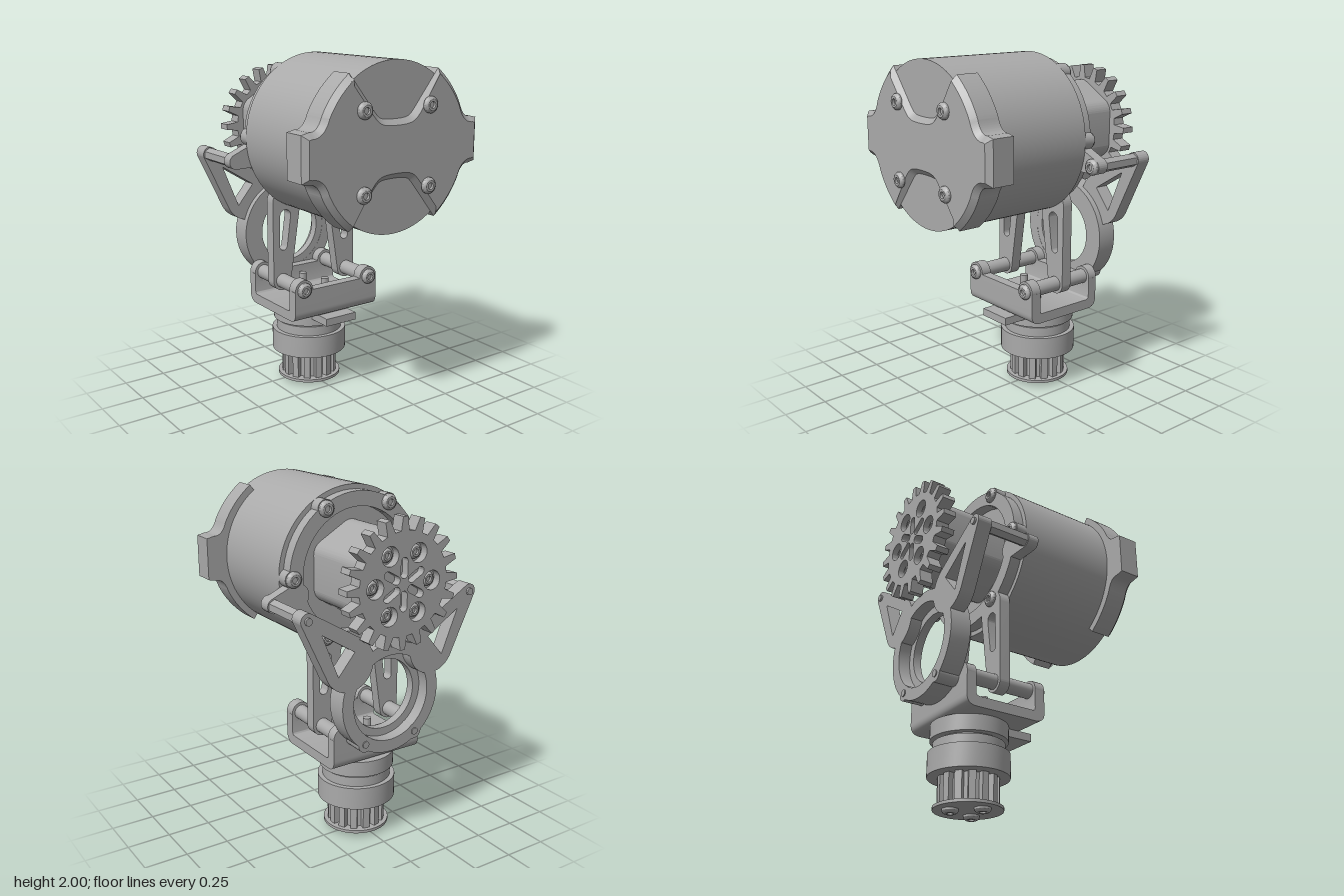
import * as THREE from 'three';
import { toCreasedNormals } from 'three/addons/utils/BufferGeometryUtils.js';

const AXIS_Y = 1.545;   // motor axis height
const STACK_Z = -0.215; // vertical pulley axis
const RING_Y = 0.905;   // rear ring centre

export function createModel() {
  const model = new THREE.Group();
  model.name = 'motorDriveUnit';
  const grey = new THREE.MeshStandardMaterial({ color: 0xaaaaaa });
  grey.name = 'grey metal';

  function add(name, geo, x = 0, y = 0, z = 0) {
    const mesh = new THREE.Mesh(toCreasedNormals(geo, 0.55), grey);
    mesh.name = name;
    mesh.position.set(x, y, z);
    model.add(mesh);
    return mesh;
  }
  // Plate between two z values
  function plate(name, shape, z0, z1, x = 0, y = 0) {
    const geo = new THREE.ExtrudeGeometry(shape, { depth: z1 - z0, bevelEnabled: false, curveSegments: 28 });
    return add(name, geo, x, y, z0);
  }
  function rodZ(name, r, x, y, z0, z1, sides = 24) {
    return add(name, new THREE.CylinderGeometry(r, r, z1 - z0, sides).rotateX(Math.PI / 2), x, y, (z0 + z1) / 2);
  }
  function rodY(name, r, y0, y1, x = 0, z = STACK_Z, sides = 48) {
    return add(name, new THREE.CylinderGeometry(r, r, y1 - y0, sides), x, (y0 + y1) / 2, z);
  }
  // Outline around two circles
  function strap(x1, y1, r1, x2, y2, r2) {
    const a = Math.atan2(y2 - y1, x2 - x1);
    const p = Math.acos((r1 - r2) / Math.hypot(x2 - x1, y2 - y1));
    const s = new THREE.Shape();
    s.absarc(x1, y1, r1, a + p, a - p + Math.PI * 2, false);
    s.absarc(x2, y2, r2, a - p, a + p, false);
    return s;
  }
  function disc(r, x = 0, y = 0) {
    const s = new THREE.Shape();
    s.absarc(x, y, r, 0, Math.PI * 2, false);
    return s;
  }
  function ring(outer, inner) {
    const s = disc(outer);
    s.holes.push(disc(inner));
    return s;
  }
  // Button-head screw with a socket; turn is the rotation from facing up
  function screw(x, y, z, turn, size = 1) {
    const pts = [[0.045, 0], [0.045, 0.01], [0.04, 0.018], [0.03, 0.025], [0.018, 0.025], [0.018, 0.01], [0, 0.01]]
      .map(([r, h]) => new THREE.Vector2(r * size, h));
    add('screw', new THREE.LatheGeometry(pts, 24).rotateX(turn), x, y, z);
  }
  const FRONT = Math.PI / 2, BACK = -Math.PI / 2, DOWN = Math.PI;

  function gearShape(n, outer, root, tip, foot) {
    const pts = [];
    const step = (Math.PI * 2) / n;
    for (let i = 0; i < n; i++) {
      for (const [r, f] of [[root, -foot], [outer, -tip], [outer, tip], [root, foot]]) {
        const a = (i + f) * step;
        pts.push(new THREE.Vector2(r * Math.cos(a), r * Math.sin(a)));
      }
    }
    return new THREE.Shape(pts);
  }

  // Motor
  add('motorBody', new THREE.CylinderGeometry(0.455, 0.455, 0.725, 96).rotateX(Math.PI / 2), 0, AXIS_Y, 0.2145);

  // Front cap with side tabs and notches above and below
  const cap = new THREE.Shape();
  const capSide = (s) => {
    // s = 1 draws the right half from top down, s = -1 the left half from bottom up
    cap.bezierCurveTo(s * 0.1, s * 0.155, s * 0.1, s * 0.165, s * 0.135, s * 0.205);
    cap.lineTo(s * 0.29, s * 0.4);
    cap.quadraticCurveTo(s * 0.4, s * 0.315, s * 0.455, s * 0.2);
    cap.quadraticCurveTo(s * 0.48, s * 0.125, s * 0.53, s * 0.13);
    cap.lineTo(s * 0.575, s * 0.12);
    cap.lineTo(s * 0.575, s * -0.12);
    cap.lineTo(s * 0.53, s * -0.13);
    cap.quadraticCurveTo(s * 0.48, s * -0.125, s * 0.455, s * -0.2);
    cap.quadraticCurveTo(s * 0.4, s * -0.315, s * 0.29, s * -0.4);
    cap.lineTo(s * 0.135, s * -0.205);
    cap.bezierCurveTo(s * 0.1, s * -0.165, s * 0.1, s * -0.155, 0, s * -0.155);
  };
  cap.moveTo(0, 0.155);
  capSide(1);
  capSide(-1);
  plate('capRim', cap, 0.45, 0.577, 0, AXIS_Y);
  add('capFace', new THREE.ExtrudeGeometry(cap, {
    depth: 0.03, bevelThickness: 0.028, bevelSize: 0.03, bevelOffset: -0.03, bevelSegments: 1, curveSegments: 28,
  }), 0, AXIS_Y, 0.547);
  for (const x of [-0.215, 0.215]) for (const y of [-0.215, 0.215]) screw(x, AXIS_Y + y, 0.605, FRONT);

  // Mounting plate behind the motor
  const P0 = -0.213, P1 = -0.148;
  plate('mountRing', ring(0.428, 0.345), P0, P1, 0, AXIS_Y);
  for (let i = 0; i < 6; i++) {
    const a = (i * Math.PI) / 3;
    const x = 0.405 * Math.cos(a), y = AXIS_Y + 0.405 * Math.sin(a);
    rodZ('mountLug', 0.05, x, y, P0, P1);
    screw(x, y, P0, BACK);
  }
  for (const s of [-1, 1]) {
    plate('mountArm', strap(s * 0.38, 1.45, 0.07, s * 0.52, 1.42, 0.042), P0, P1);
    const leg = strap(s * 0.195, 1.15, 0.095, s * 0.23, 0.68, 0.06);
    leg.holes.push(strap(s * 0.205, 1.07, 0.036, s * 0.22, 0.89, 0.026));
    plate('mountLeg', leg, P0, P1);

    // Spacers between mounting plate and rear plate
    rodZ('spacer', 0.038, s * 0.52, 1.42, -0.46, P0, 6);
    rodZ('spacerPin', 0.02, s * 0.52, 1.42, -0.552, -0.54);
  }
  screw(0.515, 1.42, P1, FRONT);

  // Gearbox: rounded hexagon
  const box = new THREE.Shape();
  for (let i = 0; i < 6; i++) {
    const a = Math.PI / 6 + (i * Math.PI) / 3;
    box.absarc(0.18 * Math.cos(a), 0.18 * Math.sin(a), 0.083, a - Math.PI / 6, a + Math.PI / 6, false);
  }
  plate('gearbox', box, -0.555, -0.148, 0, AXIS_Y + 0.005);

  // Output gear with screw pockets and radial slots
  const GEAR_Y = AXIS_Y + 0.005;
  const gear = gearShape(20, 0.35, 0.278, 0.14, 0.29);
  for (let i = 0; i < 6; i++) {
    const a = (i * Math.PI) / 3, b = a + Math.PI / 6;
    const px = 0.18 * Math.cos(a), py = 0.18 * Math.sin(a);
    gear.holes.push(disc(0.052, px, py));
    const c = Math.cos(b), d = Math.sin(b);
    gear.holes.push(strap(0.055 * c, 0.055 * d, 0.022, 0.12 * c, 0.12 * d, 0.022));
    screw(px, GEAR_Y + py, -0.58, BACK, 0.85);
  }
  plate('outputGear', gear, -0.627, -0.55, 0, GEAR_Y);
  rodZ('gearWeb', 0.26, 0, GEAR_Y, -0.58, -0.551, 48);

  // Rear plate: bearing ring with two arms
  plate('bearingRing', ring(0.315, 0.245), -0.54, -0.42, 0, RING_Y);
  plate('bearingLip', ring(0.26, 0.2), -0.47, -0.421, 0, RING_Y);
  for (const s of [-1, 1]) {
    const arm = strap(s * 0.27, 1.145, 0.15, s * 0.52, 1.42, 0.042);
    const hole = new THREE.Path([[0.44, 1.335], [0.24, 1.21], [0.34, 1.09]].map(([x, y]) => new THREE.Vector2(s * x, y)));
    arm.holes.push(hole);
    plate('rearArm', arm, -0.54, -0.455);
    const x = s * 0.165, y = RING_Y - 0.235;
    rodZ('ringLug', 0.045, x, y, -0.54, -0.42);
    rodZ('ringPin', 0.02, x, y, -0.546, -0.54);
  }

  // U-shaped bracket, drawn in side profile
  const u = new THREE.Shape();
  u.moveTo(0.08, 0.675);
  u.lineTo(0.08, 0.55);
  u.quadraticCurveTo(0.08, 0.49, 0.02, 0.49);
  u.lineTo(-0.36, 0.49);
  u.quadraticCurveTo(-0.42, 0.49, -0.42, 0.55);
  u.lineTo(-0.42, 0.675);
  u.lineTo(-0.362, 0.675);
  u.lineTo(-0.362, 0.57);
  u.quadraticCurveTo(-0.362, 0.548, -0.34, 0.548);
  u.lineTo(0, 0.548);
  u.quadraticCurveTo(0.018, 0.548, 0.018, 0.57);
  u.lineTo(0.018, 0.675);
  add('bracket', new THREE.ExtrudeGeometry(u, { depth: 0.58, bevelEnabled: false })
    .translate(0, 0, -0.29).rotateY(-Math.PI / 2));
  for (const s of [-1, 1]) {
    rodZ('bracketEarFront', 0.06, s * 0.23, 0.68, 0.018, 0.08);
    rodZ('bracketEarBack', 0.06, s * 0.23, 0.68, -0.42, -0.362);
    rodZ('crossRod', 0.043, s * 0.23, 0.68, -0.4, 0.05);
    screw(s * 0.23, 0.68, 0.08, FRONT);
  }

  // Swivel collar with a stop tab
  rodY('collar', 0.215, 0.4, 0.491);
  add('stopTab', new THREE.BoxGeometry(0.21, 0.045, 0.2), 0, 0.468, 0.025);
  rodY('collarNeck', 0.175, 0.375, 0.41);
  rodY('bearing', 0.198, 0.32, 0.388);
  rodY('bearingHousing', 0.225, 0.2, 0.332);

  // Toothed pulley and its flange
  const pulley = new THREE.ExtrudeGeometry(gearShape(14, 0.167, 0.135, 0.26, 0.33), { depth: 0.18, bevelEnabled: false });
  add('pulley', pulley.rotateX(-Math.PI / 2), 0, 0.03, STACK_Z);
  rodY('pulleyFlange', 0.19, 0.025, 0.042);
  for (const [x, z] of [[-0.096, 0.029], [0.022, -0.097], [0.073, 0.068]]) {
    screw(x, 0.025, STACK_Z + z, DOWN);
    rodY('screwEnd', 0.024, 0.5, 0.64, x, STACK_Z + z, 20);
  }
  return model;
}
